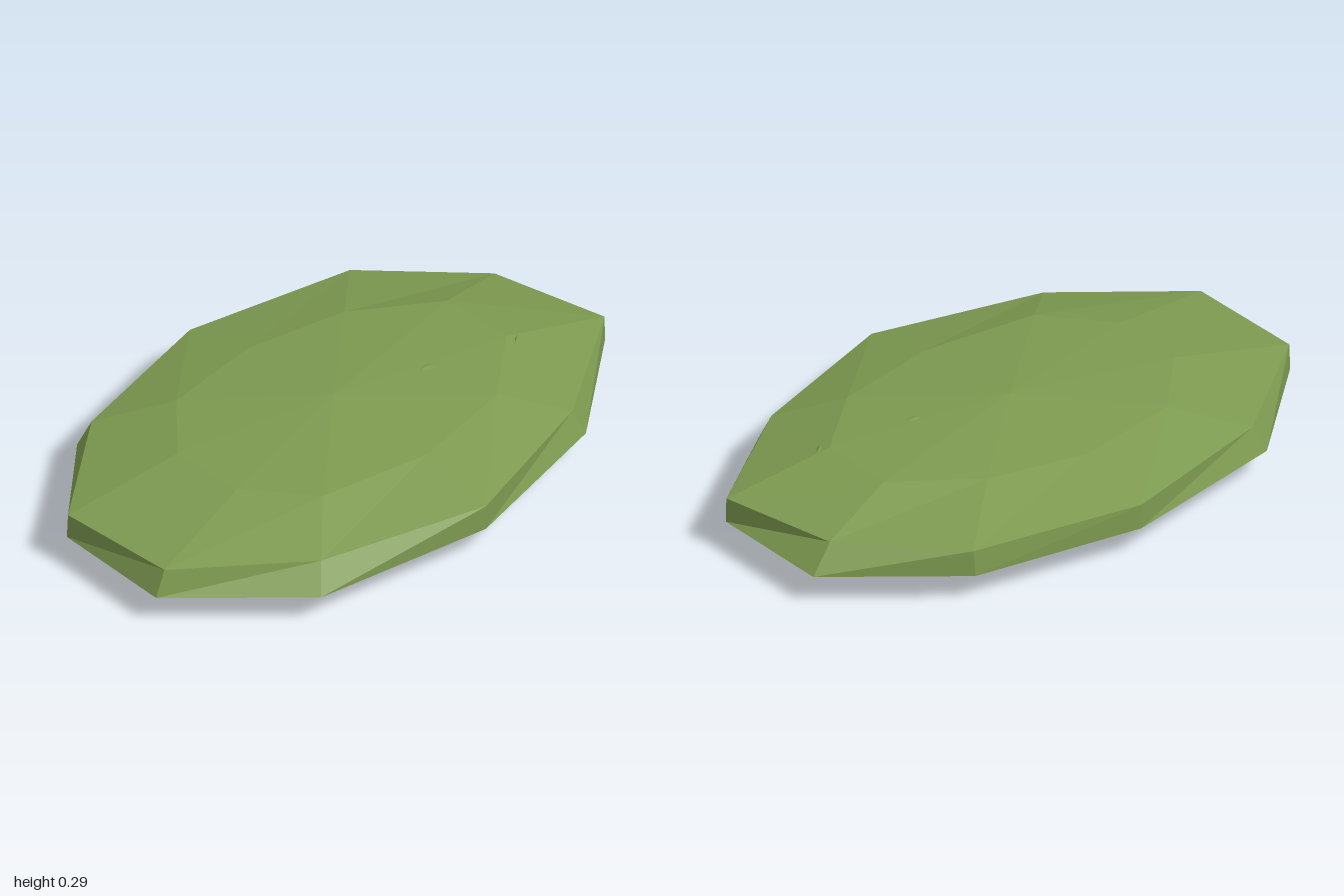
import * as THREE from 'three';

// Outlines [x, z], counter-clockwise from above, starting at the front
const innerTop = [[0.01, 0.4], [0.39, 0.33], [0.63, 0.13], [0.63, -0.14], [0.36, -0.33], [0.01, -0.41], [-0.36, -0.36], [-0.56, -0.15], [-0.56, 0.12], [-0.39, 0.335]];
const rimTop = [[0.01, 0.667], [0.57, 0.49], [1, 0.197], [0.915, -0.215], [0.6, -0.55], [0.01, -0.675], [-0.56, -0.54], [-0.97, -0.23], [-0.96, 0.197], [-0.57, 0.51]];
const rimBottom = [[0.01, 0.667], [0.6, 0.52], [1, 0.2], [1, -0.235], [0.6, -0.56], [0.01, -0.675], [-0.595, -0.57], [-0.97, -0.235], [-1, 0.2], [-0.625, 0.565]];
const innerBottom = [[0.01, 0.4], [0.38, 0.34], [0.61, 0.13], [0.61, -0.14], [0.37, -0.34], [0.01, -0.4], [-0.37, -0.34], [-0.61, -0.14], [-0.61, 0.13], [-0.38, 0.34]];

const lift = (ring, y) => ring.map(([x, z]) => [x, typeof y === 'function' ? y(x, z) : y, z]);

// Faceted solid through rings listed bottom to top, closed by two poles
function loft(rings, bottom, top) {
  const p = [], n = rings[0].length;
  const tri = (a, b, c) => p.push(...a, ...b, ...c);
  for (let i = 0; i < n; i++) {
    const j = (i + 1) % n;
    tri(bottom, rings[0][j], rings[0][i]);
    for (let k = 0; k < rings.length - 1; k++) {
      const lo = rings[k], hi = rings[k + 1];
      tri(lo[i], lo[j], hi[j]);
      tri(lo[i], hi[j], hi[i]);
    }
    tri(top, rings[rings.length - 1][i], rings[rings.length - 1][j]);
  }
  const g = new THREE.BufferGeometry();
  g.setAttribute('position', new THREE.Float32BufferAttribute(p, 3));
  g.computeVertexNormals();
  return g;
}

export function createModel() {
  const group = new THREE.Group();
  const green = new THREE.MeshStandardMaterial({ color: 0x7d9a50, flatShading: true });
  green.name = 'mossGreen';

  // Flat faceted slab with shallow domes above and below its rim
  const body = new THREE.Mesh(loft([
    lift(innerBottom, (x) => 0.03 - 0.004 * Math.abs(x)),
    lift(rimBottom, 0.11),
    lift(rimTop, 0.198),
    lift(innerTop, (x) => 0.264 + 0.016 * Math.abs(x)),
  ], [0, 0.005, 0], [0, 0.296, -0.01]), green);
  body.name = 'slab';
  group.add(body);

  // Slight bumps on the upper face
  for (const [x, y, z, w, d, turn] of [[0.32, 0.281, 0.08, 0.1, 0.05, -0.2], [0.65, 0.264, 0.155, 0.06, 0.016, 0.7]]) {
    const bump = new THREE.Mesh(new THREE.ConeGeometry(1, 1, 6), green);
    bump.name = 'surfaceBump';
    bump.scale.set(w, 0.014, d);
    bump.position.set(x, y, z);
    bump.rotation.y = turn;
    group.add(bump);
  }
  return group;
}
